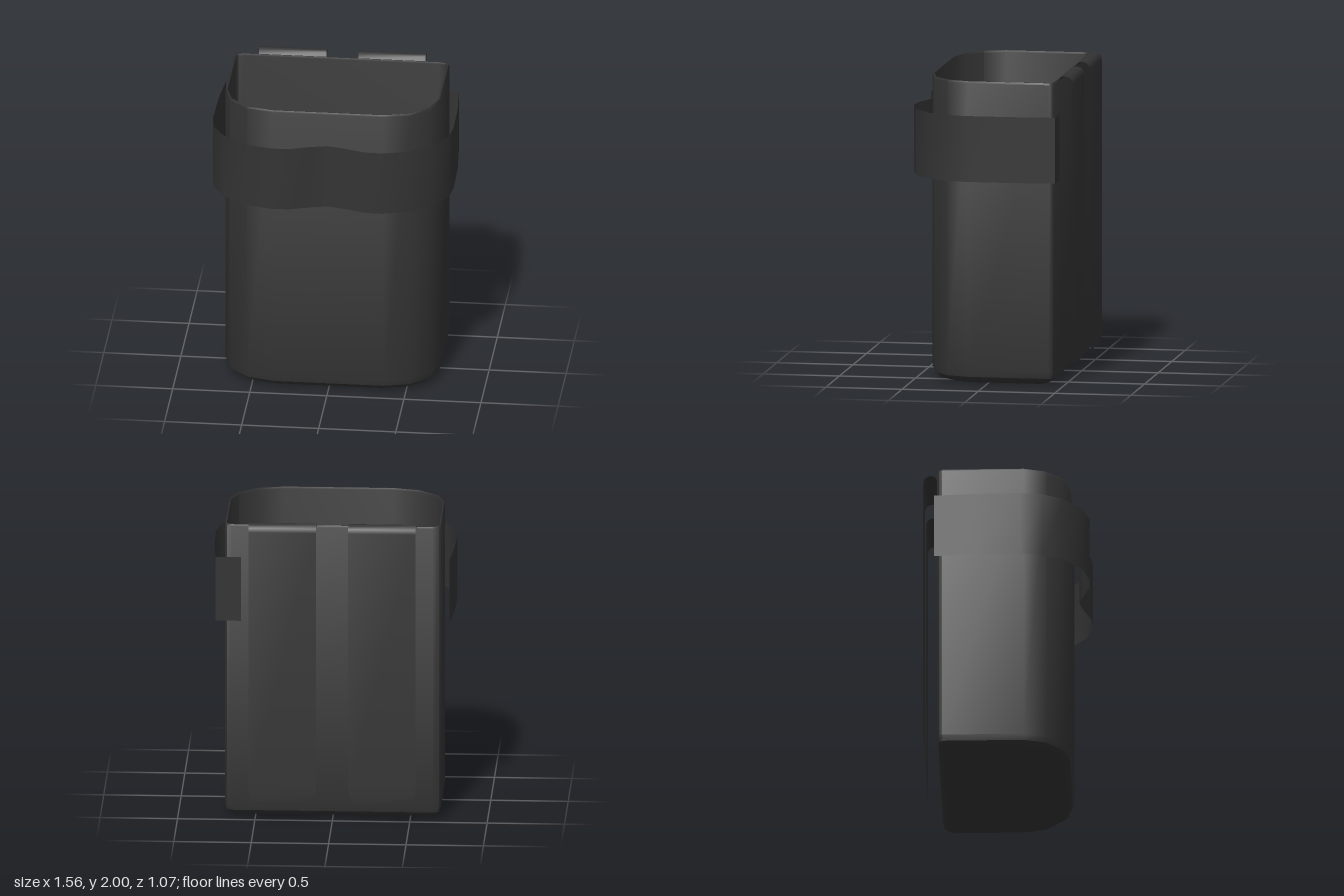
import * as THREE from 'three';
import { toCreasedNormals } from 'three/addons/utils/BufferGeometryUtils.js';

const charcoal = new THREE.MeshStandardMaterial({ color: 0x333333, side: THREE.DoubleSide });
charcoal.name = 'charcoal';

// Skin a list of equally long point rows, each point being [x, y, z]
function skin(name, rows, closed, crease = 0.62) {
  const n = rows[0].length;
  const index = [];
  for (let j = 0; j < rows.length - 1; j++) {
    for (let i = 0; i < (closed ? n : n - 1); i++) {
      const k = (i + 1) % n;
      const a = j * n + i, b = j * n + k, c = b + n, d = a + n;
      index.push(a, b, c, a, c, d);
    }
  }
  const geometry = new THREE.BufferGeometry();
  geometry.setAttribute('position', new THREE.Float32BufferAttribute(rows.flat(2), 3));
  geometry.setIndex(index);
  const mesh = new THREE.Mesh(toCreasedNormals(geometry, crease), charcoal);
  mesh.name = name;
  return mesh;
}

const mirrorX = (points) => points.map(([x, z]) => [-x, z]).reverse();

// Thin-walled open cup: outline with broad front corners and tight back corners
function makePouch() {
  const half = [[0.36, 0.415], [0.53, 0.372], [0.652, 0.265], [0.698, 0.12],
    [0.698, -0.41], [0.685, -0.43], [0.645, -0.442]];
  const outline = [...half, ...mirrorX(half)];
  // [height, inset] from the underside centre, up the outside, over the rim, down the inside
  const profile = [[0, 1], [0, 0.085], [0.012, 0.045], [0.045, 0.008], [0.085, 0],
    [1.962, 0], [1.974, 0.006], [1.974, 0.012], [1.962, 0.016],
    [0.09, 0.016], [0.05, 0.024], [0.02, 0.055], [0.02, 1]];
  const rings = profile.map(([y, inset]) => {
    const sx = inset === 1 ? 0 : 1 - inset / 0.698;
    const sz = inset === 1 ? 0 : 1 - inset / 0.428;
    return outline.map(([x, z]) => [x * sx, y, (z + 0.014) * sz - 0.014]);
  });
  return skin('pouchBody', rings, true);
}

// Band around the front and sides with two bulges and a dip in the middle
function makeBand() {
  const right = [[0, 0.46], [0.11, 0.485], [0.24, 0.53], [0.36, 0.535], [0.53, 0.49],
    [0.68, 0.375], [0.76, 0.24], [0.78, 0.1], [0.775, -0.2], [0.755, -0.46]];
  const path = [...mirrorX(right.slice(1)), ...right, [0.59, -0.46]];
  return skin('band', [1.33, 1.76].map((y) => path.map(([x, z]) => [x, y, z])), false);
}

// Back strap: hooks over the rim and hangs down to clipped corners
function makeStrap(side) {
  const profile = [[0.11, -0.53, 0.15], [0.14, -0.535, 0.19], [0.21, -0.535, 0.218],
    [1.95, -0.535, 0.218], [1.977, -0.528, 0.218], [1.994, -0.51, 0.218],
    [2, -0.485, 0.218], [1.994, -0.46, 0.218], [1.965, -0.442, 0.218]];
  const rows = profile.map(([y, z, w]) => [[side * 0.322 + w, y, z], [side * 0.322 - w, y, z]]);
  return skin(side > 0 ? 'leftBackStrap' : 'rightBackStrap', rows, false, 0.9);
}

export function createModel() {
  const model = new THREE.Group();
  model.name = 'pouch';
  model.add(makePouch(), makeBand(), makeStrap(1), makeStrap(-1));
  return model;
}
